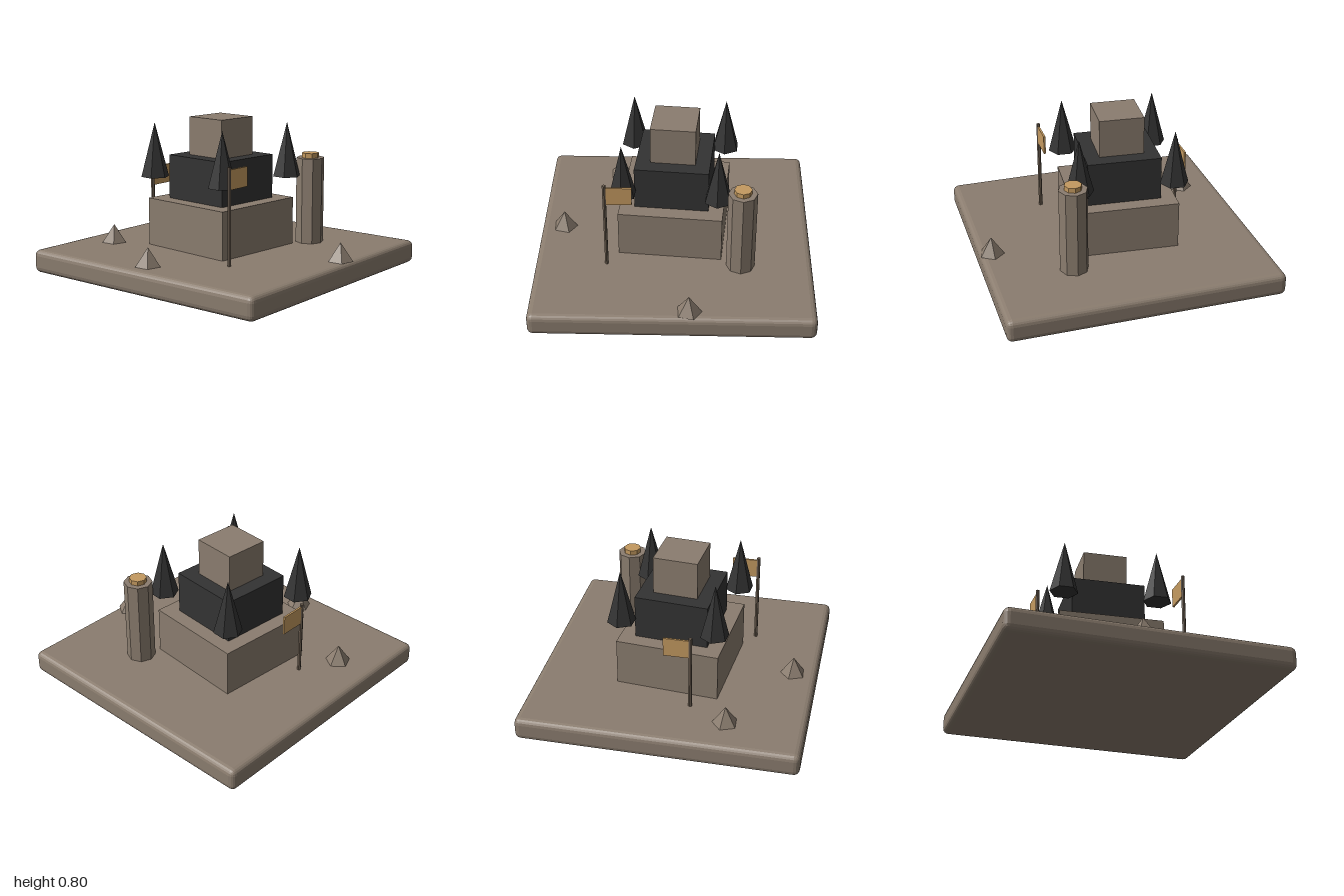
import * as THREE from 'three';
import { RoundedBoxGeometry } from 'three/addons/geometries/RoundedBoxGeometry.js';

export function createModel() {
  const model = new THREE.Group();
  model.name = 'fortressDiorama';

  const material = (name, color) => {
    const m = new THREE.MeshStandardMaterial({ color });
    m.name = name;
    return m;
  };
  const stone = material('stone', 0x8b7d6f);
  const charcoal = material('charcoal', 0x333333);
  const gold = material('gold', 0xc49a60);
  const wood = material('wood', 0x6f6153);

  // Adds a faceted mesh with its centre at the given place
  const add = (parent, name, geometry, mat, x, y, z, turn = 0) => {
    let g = geometry;
    if (g.index) g = g.toNonIndexed();
    g.computeVertexNormals();
    const mesh = new THREE.Mesh(g, mat);
    mesh.name = name;
    mesh.position.set(x, y, z);
    mesh.rotation.y = turn;
    parent.add(mesh);
    return mesh;
  };

  const ground = 0.12;

  // Base slab with softened edges, standing on a corner toward the front
  add(model, 'baseSlab', new RoundedBoxGeometry(1.435, ground, 1.435, 2, 0.03), stone, 0, ground / 2, 0, Math.PI / 4);

  // Stepped keep, turned slightly off the base
  const keep = new THREE.Group();
  keep.name = 'keep';
  keep.position.set(-0.03, 0, -0.03);
  keep.rotation.y = Math.PI / 4 - 0.085;
  model.add(keep);
  const tiers = [
    ['lowerTier', 0.537, ground, 0.37, stone],
    ['middleTier', 0.382, 0.37, 0.6, charcoal],
    ['upperTier', 0.232, 0.6, 0.8, stone],
  ];
  for (const [name, side, low, high, mat] of tiers) {
    add(keep, name, new THREE.BoxGeometry(side, high - low, side), mat, 0, (low + high) / 2, 0);
  }

  // Spires above the four corners of the keep
  for (const sx of [-1, 1]) {
    for (const sz of [-1, 1]) {
      add(keep, 'cornerSpire', new THREE.ConeGeometry(0.074, 0.285, 6), charcoal, sx * 0.244, 0.6275, sz * 0.244);
    }
  }

  // Watchtower with a golden cap
  add(model, 'watchtower', new THREE.CylinderGeometry(0.074, 0.074, 0.455, 8), stone, 0.447, ground + 0.2275, -0.04);
  add(model, 'towerCap', new THREE.CylinderGeometry(0.045, 0.045, 0.025, 8), gold, 0.447, 0.5875, -0.04);

  // Banners on poles: x, z, pole top
  for (const [x, z, top] of [[-0.04, 0.45, 0.612], [-0.38, -0.208, 0.525]]) {
    const banner = new THREE.Group();
    banner.name = 'banner';
    banner.position.set(x, 0, z);
    banner.rotation.y = Math.PI / 4;
    model.add(banner);
    add(banner, 'pole', new THREE.CylinderGeometry(0.01, 0.01, top - ground, 6), wood, 0, (top + ground) / 2, 0);
    add(banner, 'flag', new THREE.BoxGeometry(0.136, 0.1, 0.01), gold, 0.069, top - 0.063, 0);
  }

  // Scattered five-sided rocks
  for (const [x, z] of [[-0.592, -0.14], [-0.435, 0.405], [0.523, 0.405]]) {
    add(model, 'rock', new THREE.ConeGeometry(0.066, 0.095, 5), stone, x, ground + 0.0475, z, -0.09);
  }

  return model;
}
